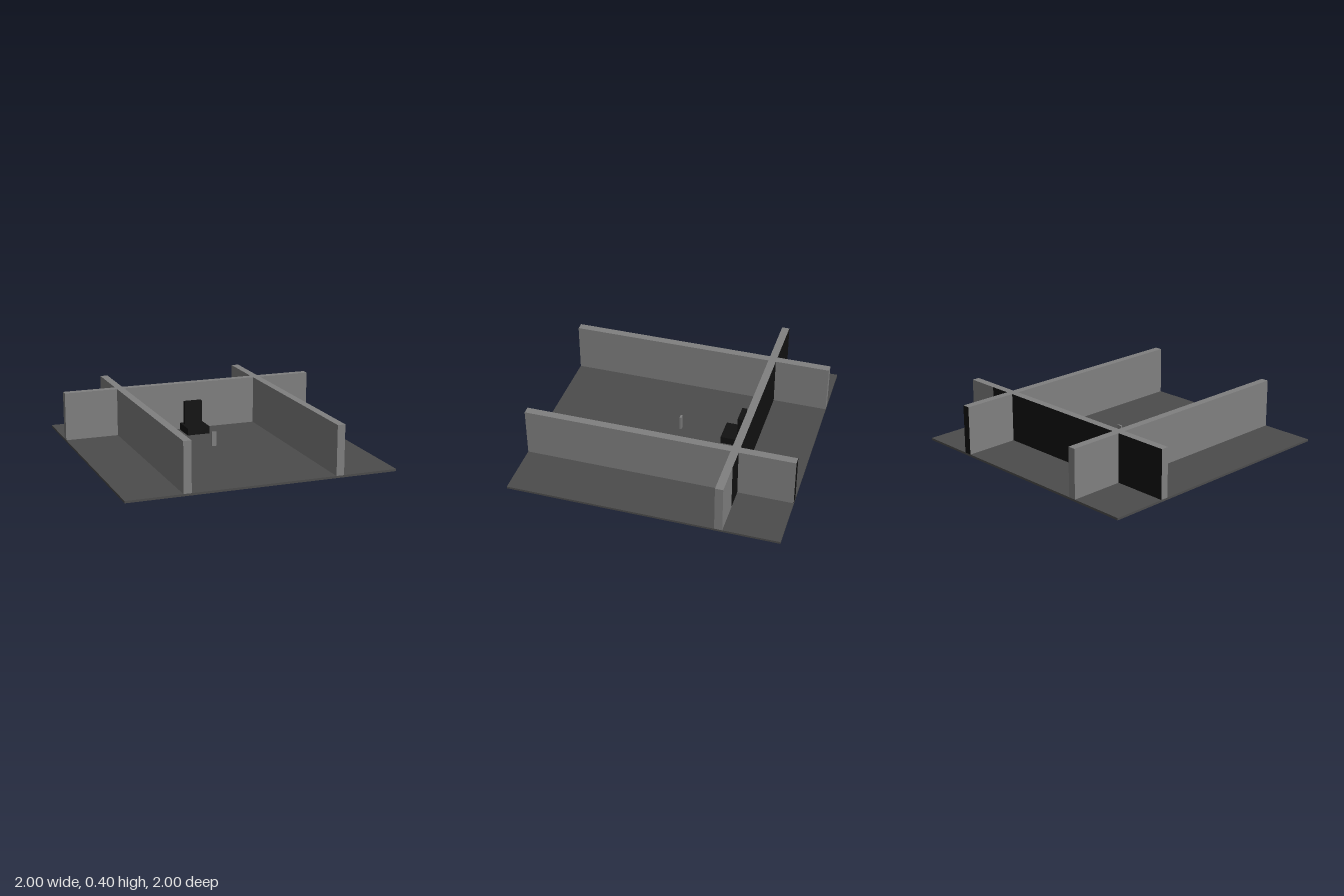
import * as THREE from 'three';

const mat = (name, hex) => {
  const m = new THREE.MeshStandardMaterial({ color: hex });
  m.name = name;
  return m;
};

export function createModel() {
  const model = new THREE.Group();
  model.name = 'roomLayout';
  const wall = mat('wallGrey', 0x808080);
  const floor = mat('floorGrey', 0x4c4c4c);
  const black = mat('black', 0x111111);
  // grey box whose back (-z) face is black
  const blackBacked = [wall, wall, wall, wall, wall, black];

  // box from its extents on each axis
  const box = (name, material, [x0, x1], [y0, y1], [z0, z1]) => {
    const mesh = new THREE.Mesh(new THREE.BoxGeometry(x1 - x0, y1 - y0, z1 - z0), material);
    mesh.position.set((x0 + x1) / 2, (y0 + y1) / 2, (z0 + z1) / 2);
    mesh.name = name;
    model.add(mesh);
  };

  // floor slab
  box('floor', floor, [-1, 1], [0.018, 0.034], [-1, 1]);

  // two long side walls
  const height = [0.034, 0.4], inner = 0.533, outer = 0.591;
  box('leftWall', blackBacked, [inner, outer], height, [-1, 1]);
  box('rightWall', wall, [-outer, -inner], height, [-1, 1]);

  // cross wall, in segments between the side walls
  const crossZ = [-outer, -inner];
  box('crossWallRight', blackBacked, [-1, -outer], height, crossZ);
  box('crossWallMiddle', blackBacked, [-inner, inner], height, crossZ);
  box('crossWallLeft', blackBacked, [outer, 0.755], height, crossZ);
  box('crossWallEnd', wall, [0.755, 1], height, crossZ);

  // chair: block seat and thin backrest
  box('seat', black, [-0.09, 0.09], [0, 0.09], [-0.51, -0.332]);
  box('backrest', black, [-0.07, 0.07], [0.09, 0.27], [-0.488, -0.452]);

  // small post in the middle of the floor
  box('post', wall, [-0.018, 0.018], [0.034, 0.142], [-0.007, 0.007]);

  return model;
}
